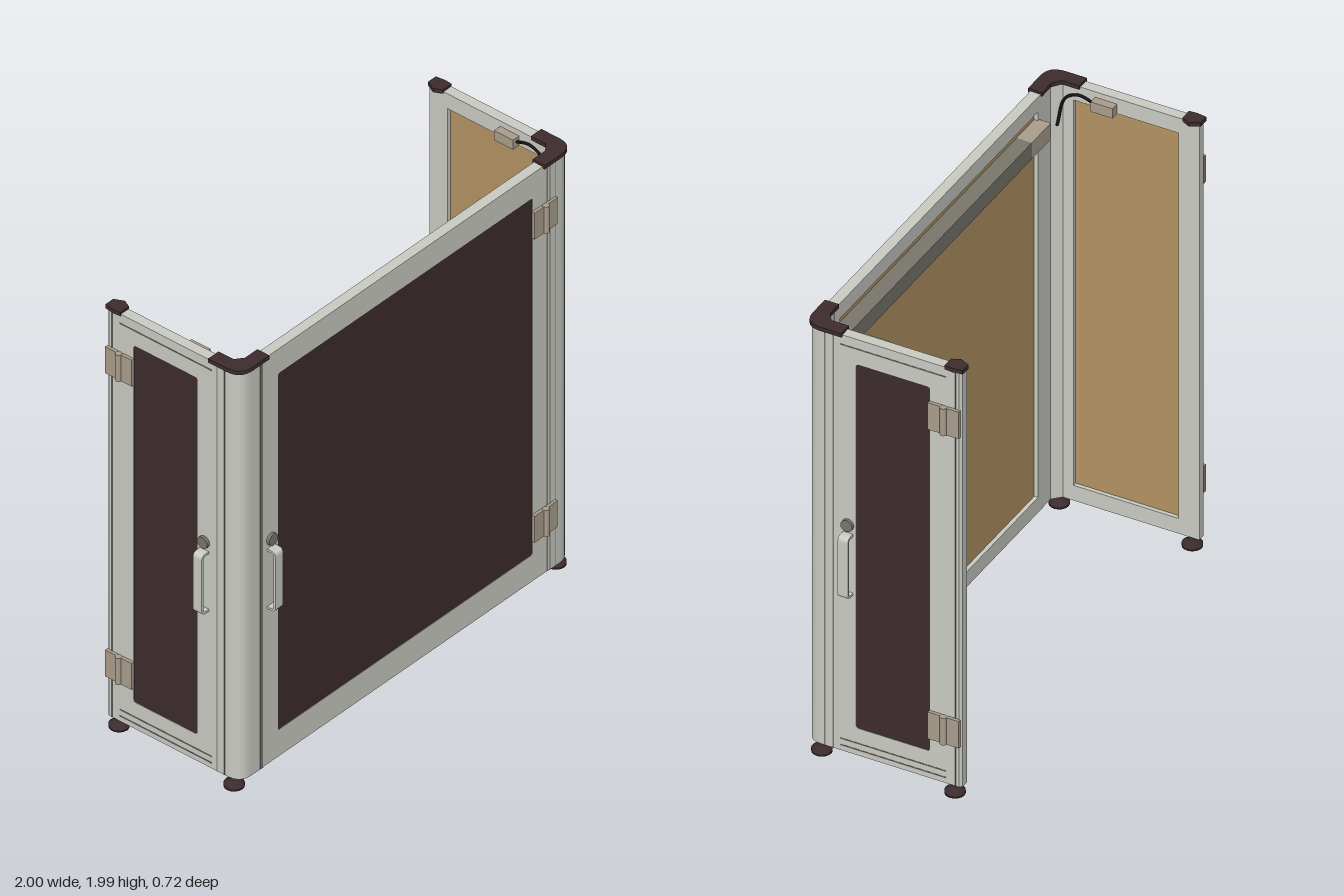
import * as THREE from 'three';

const mat = (name, color, side = THREE.FrontSide) => {
  const m = new THREE.MeshStandardMaterial({ color, side });
  m.name = name;
  return m;
};

export function createModel() {
  const frameMat = mat('light grey metal', 0xcacbc3);
  const darkMat = mat('dark brown', 0x3d2c2d);
  const boardMat = mat('tan board', 0xb29263);
  const hingeMat = mat('beige hinge', 0xaa9e8c);
  const greyMat = mat('mid grey', 0x7a766e);
  const blackMat = mat('black cable', 0x151515);

  const root = new THREE.Group();
  root.name = 'enclosure';
  const BOTTOM = 0.05, TOP = 1.975, T = 0.045;

  const add = (parent, name, geo, material, x = 0, y = 0, z = 0) => {
    const m = new THREE.Mesh(geo, material);
    m.name = name;
    m.position.set(x, y, z);
    parent.add(m);
    return m;
  };
  const box = (parent, name, material, x0, x1, y0, y1, z0, z1) =>
    add(parent, name, new THREE.BoxGeometry(x1 - x0, y1 - y0, z1 - z0), material,
      (x0 + x1) / 2, (y0 + y1) / 2, (z0 + z1) / 2);

  // Rectangle outline, with optional rounded corners
  const rect = (C, x0, x1, y0, y1, r = 0.0001) => {
    const p = new C();
    p.moveTo(x0 + r, y0).lineTo(x1 - r, y0).quadraticCurveTo(x1, y0, x1, y0 + r);
    p.lineTo(x1, y1 - r).quadraticCurveTo(x1, y1, x1 - r, y1);
    p.lineTo(x0 + r, y1).quadraticCurveTo(x0, y1, x0, y1 - r);
    p.lineTo(x0, y0 + r).quadraticCurveTo(x0, y0, x0 + r, y0);
    return p;
  };
  const ring = (outer, hole, r, depth) => {
    const s = rect(THREE.Shape, ...outer);
    s.holes.push(rect(THREE.Path, ...hole, r));
    return new THREE.ExtrudeGeometry(s, { depth, bevelEnabled: false, curveSegments: 4 });
  };

  // U-shaped strap handle standing out along +z
  const handle = (parent, u) => {
    const y0 = 0.785, y1 = 1.067, d = 0.042, t = 0.01, r = 0.022;
    const s = new THREE.Shape();
    s.moveTo(0, y0).lineTo(d - r, y0).quadraticCurveTo(d, y0, d, y0 + r);
    s.lineTo(d, y1 - r).quadraticCurveTo(d, y1, d - r, y1).lineTo(0, y1);
    s.lineTo(0, y1 - t).lineTo(d - r, y1 - t).quadraticCurveTo(d - t, y1 - t, d - t, y1 - r);
    s.lineTo(d - t, y0 + r).quadraticCurveTo(d - t, y0 + t, d - r, y0 + t).lineTo(0, y0 + t);
    const g = new THREE.ExtrudeGeometry(s, { depth: 0.044, bevelEnabled: false, curveSegments: 5 });
    g.translate(0, 0, -0.022).rotateY(-Math.PI / 2);
    add(parent, 'handle', g, frameMat, u, 0, 0);
  };

  // Two leaves and a knuckle
  const hinge = (parent, u, y) => {
    const h = new THREE.Group();
    h.name = 'hinge';
    h.position.set(u, y, 0);
    parent.add(h);
    for (const s of [-1, 1])
      box(h, 'hingeLeaf', hingeMat, s * 0.04 - 0.027, s * 0.04 + 0.027, -0.062, 0.062, 0, 0.014);
    add(h, 'hingeKnuckle', new THREE.CylinderGeometry(0.014, 0.014, 0.125, 12), hingeMat, 0, 0, 0.013);
  };

  // Framed door facing local +z; u runs across it
  const door = (name, o) => {
    const g = new THREE.Group();
    g.name = name;
    root.add(g);
    const span = (a) => [Math.min(a[0] * o.m, a[1] * o.m), Math.max(a[0] * o.m, a[1] * o.m)];
    const edge = [...span(o.edge), BOTTOM, TOP];
    const win = [...span(o.window), 0.175, 1.86];
    const inner = [...span(o.board), 0.12, 1.905];
    add(g, 'doorSkin', ring(edge, win, 0.012, 0.012), frameMat, 0, 0, -0.012);
    add(g, 'doorFrame', ring(edge, inner, 0.0001, T - 0.012), frameMat, 0, 0, -T);
    box(g, 'windowPane', darkMat, ...win, -0.011, -0.002);
    box(g, 'innerBoard', boardMat, ...inner, -0.028, -0.012);
    handle(g, o.handle * o.m);
    const lock = add(g, 'lock', new THREE.CylinderGeometry(0.026, 0.026, 0.014, 16), greyMat, o.handle * o.m, 1.105, 0.007);
    lock.rotation.x = Math.PI / 2;
    for (const y of [0.302, 1.735]) hinge(g, o.hinge * o.m, y);
    return g;
  };

  const front = door('frontDoor', {
    m: 1, edge: [-0.825, 0.825], window: [-0.74, 0.74], board: [-0.78, 0.78], handle: -0.78, hinge: 0.803,
  });
  front.position.z = 0.313;
  box(front, 'doorGap', greyMat, -0.845, -0.83, BOTTOM, TOP, -0.003, 0.003);
  for (const x of [0.838, 0.872])
    box(front, 'seam', greyMat, x - 0.002, x + 0.002, BOTTOM, TOP, -0.003, 0.003);

  // Vertical extrusion from a plan outline given as x,z
  const column = (shape, y0, y1) => {
    const g = new THREE.ExtrudeGeometry(shape, { depth: y1 - y0, bevelEnabled: false, curveSegments: 8 });
    return g.rotateX(-Math.PI / 2).translate(0, y0, 0);
  };
  // Rounded L plan of the corner: a = front arm end, b = side arm end, e = outward offset
  const corner = (s, a, b, e) => {
    const p = new THREE.Shape(), X = 0.96 + e, Z = 0.315 + e;
    p.moveTo(s * a, -Z).lineTo(s * 0.895, -Z).quadraticCurveTo(s * X, -Z, s * X, -0.25);
    p.lineTo(s * X, -b).lineTo(s * (0.915 - e), -b).lineTo(s * (0.915 - e), -0.235);
    p.lineTo(s * (0.88 - e), -(0.27 - e)).lineTo(s * a, -(0.27 - e));
    p.closePath();
    return p;
  };
  const plan = (s, pts) => new THREE.Shape(pts.map(([x, z]) => new THREE.Vector2(s * x, -z)));

  // Levelling foot
  const footProfile = [[0, 0], [0.041, 0], [0.041, 0.014], [0.02, 0.028], [0.014, 0.032], [0.014, 0.055], [0, 0.055]]
    .map(([x, y]) => new THREE.Vector2(x, y));

  for (const s of [1, -1]) {
    const side = s > 0 ? 'left' : 'right';
    const d = door(side + 'Door', {
      m: s, edge: [-0.2, 0.29], window: [-0.1, 0.22], board: [-0.19, 0.265], handle: -0.135, hinge: 0.285,
    });
    d.position.x = s * 0.96;
    d.rotation.y = s * Math.PI / 2;
    // Thin seams on the side skin
    for (const y of [0.075, 0.105, 1.93])
      box(d, 'seam', greyMat, s * 0.06 - 0.23, s * 0.06 + 0.23, y - 0.0025, y + 0.0025, -0.003, 0.0015);
    for (const u of [-0.235, -0.198, 0.33])
      box(d, 'seam', greyMat, s * u - 0.0025, s * u + 0.0025, BOTTOM, TOP, -0.003, 0.0015);

    // Posts and their caps
    add(root, side + 'CornerPost', column(corner(s, 0.825, 0.2, 0), BOTTOM, TOP), frameMat);
    add(root, side + 'CornerCap', column(corner(s, 0.8, 0.16, 0.008), TOP - 0.008, 1.985), darkMat);
    add(root, side + 'BackPost', column(plan(s, [[0.96, -0.29], [0.96, -0.345], [0.95, -0.356], [0.915, -0.356], [0.915, -0.29]]), BOTTOM, TOP), frameMat);
    add(root, side + 'BackCap', column(plan(s, [[0.963, -0.285], [0.966, -0.32], [0.96, -0.362], [0.915, -0.362],
      [0.895, -0.32], [0.912, -0.285]]), TOP - 0.008, 1.985), darkMat);

    for (const z of [0.262, -0.315])
      add(root, 'foot', new THREE.LatheGeometry(footProfile, 16), darkMat, s * 0.935, 0, z);

    // Sensor block with its cable on the inner face
    box(root, 'sensor', hingeMat, s * 0.898 - 0.019, s * 0.898 + 0.019, 1.905, 1.95, 0, 0.095);
    const path = new THREE.CatmullRomCurve3([[0.9, 1.93, 0.09], [0.902, 1.945, 0.16], [0.904, 1.91, 0.22], [0.896, 1.78, 0.25]]
      .map(([x, y, z]) => new THREE.Vector3(s * x, y, z)));
    add(root, 'cable', new THREE.TubeGeometry(path, 16, 0.006, 6), blackMat);
  }

  // Cross bar inside the front door
  box(root, 'crossBar', greyMat, -0.64, 0.79, 1.79, 1.865, 0.218, 0.285);
  box(root, 'crossBarEnd', hingeMat, -0.79, -0.64, 1.79, 1.865, 0.218, 0.285);

  return root;
}
